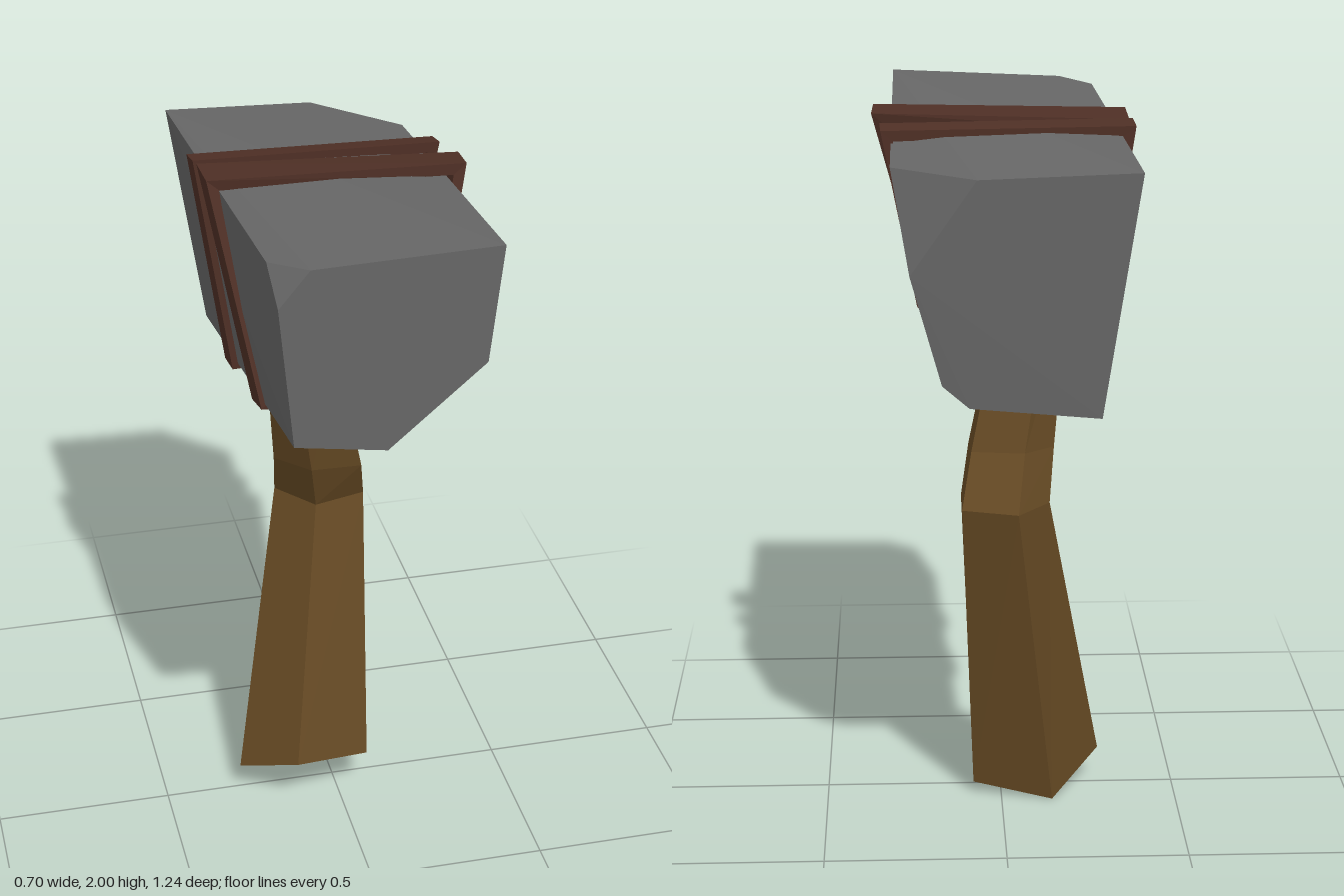
import * as THREE from 'three';
import { ConvexGeometry } from 'three/addons/geometries/ConvexGeometry.js';

// Skin a series of matching cross-sections with flat faces; loop joins the last to the first, otherwise ends are capped.
function loft(rings, loop) {
  const pos = [];
  const tri = (a, b, c) => pos.push(...a, ...b, ...c);
  const n = rings[0].length;
  const spans = loop ? rings.length : rings.length - 1;
  for (let r = 0; r < spans; r++) {
    const a = rings[r], b = rings[(r + 1) % rings.length];
    for (let i = 0; i < n; i++) {
      const j = (i + 1) % n;
      tri(a[i], a[j], b[j]);
      tri(a[i], b[j], b[i]);
    }
  }
  if (!loop) {
    const first = rings[0], last = rings[rings.length - 1];
    for (let i = 1; i < n - 1; i++) {
      tri(first[0], first[i + 1], first[i]);
      tri(last[0], last[i], last[i + 1]);
    }
  }
  const g = new THREE.BufferGeometry();
  g.setAttribute('position', new THREE.Float32BufferAttribute(pos, 3));
  g.computeVertexNormals();
  return g;
}

// A solid band: each corner gives its outer front and outer back point, the inner side is drawn in towards the core.
function strapGeometry(corners) {
  const inner = ([x, y, z]) => [x * 0.9, 1.68 + (y - 1.68) * 0.9, z];
  return loft(corners.map(([f, b]) => [b, f, inner(f), inner(b)]), true);
}

export function createModel() {
  const group = new THREE.Group();
  const material = (name, color) => {
    const m = new THREE.MeshStandardMaterial({ color });
    m.name = name;
    return m;
  };
  const stone = material('stone', 0x666666);
  const wood = material('wood', 0x664a24);
  const leather = material('leather', 0x4e2f25);
  const add = (name, geometry, mat) => {
    const mesh = new THREE.Mesh(geometry, mat);
    mesh.name = name;
    group.add(mesh);
  };

  // Stone head: a tapered block with two clipped corners
  const headPoints = [
    // front end
    [-0.195, 1.98, 0.61], [0.29, 2.0, 0.62], [0.255, 1.685, 0.62],
    [0, 1.465, 0.62], [-0.24, 1.5, 0.615], [-0.275, 1.88, 0.605], [-0.285, 1.97, 0.52],
    // back end
    [-0.335, 1.92, -0.62], [0.08, 1.905, -0.62], [0.297, 1.9, -0.41],
    [0.25, 1.66, -0.61], [0.17, 1.37, -0.59], [0.1, 1.31, -0.59], [-0.24, 1.28, -0.59],
  ].map((p) => new THREE.Vector3(...p));
  add('stoneHead', new ConvexGeometry(headPoints), stone);

  // Crooked five-sided handle, from the foot up into the head
  add('handle', loft([
    [[-0.285, 0.1, 0.03], [-0.14, 0.18, 0.17], [0.08, 0.145, 0.11], [0.08, 0.04, -0.07], [-0.145, 0.005, -0.12]],
    [[-0.13, 0.92, -0.17], [-0.035, 0.92, -0.05], [0.113, 0.92, -0.09], [0.113, 0.92, -0.235], [-0.04, 0.92, -0.285]],
    [[-0.145, 1.06, -0.1], [-0.06, 1.07, 0.01], [0.09, 1.05, -0.02], [0.085, 1.06, -0.145], [-0.06, 1.07, -0.2]],
    [[-0.185, 1.45, 0], [-0.125, 1.45, 0.1], [0, 1.45, 0.07], [0, 1.45, -0.04], [-0.125, 1.45, -0.09]],
  ], false), wood);

  // Leather straps, corners listed clockwise from the top right side of the model
  add('frontStrap', strapGeometry([
    [[-0.34, 1.98, 0.03], [-0.34, 1.97, -0.11]],
    [[0.343, 1.985, 0.08], [0.348, 1.975, -0.02]],
    [[0.248, 1.58, 0.19], [0.24, 1.56, 0.07]],
    [[0.03, 1.405, 0.26], [0.045, 1.39, 0.16]],
    [[-0.25, 1.42, 0.26], [-0.255, 1.4, 0.16]],
  ]), leather);
  add('backStrap', strapGeometry([
    [[-0.348, 1.975, -0.12], [-0.352, 1.965, -0.19]],
    [[0.325, 1.965, -0.12], [0.322, 1.955, -0.185]],
    [[0.23, 1.5, -0.11], [0.23, 1.485, -0.2]],
    [[0.09, 1.36, -0.12], [0.09, 1.335, -0.235]],
    [[-0.255, 1.35, -0.11], [-0.255, 1.33, -0.22]],
  ]), leather);

  return group;
}
